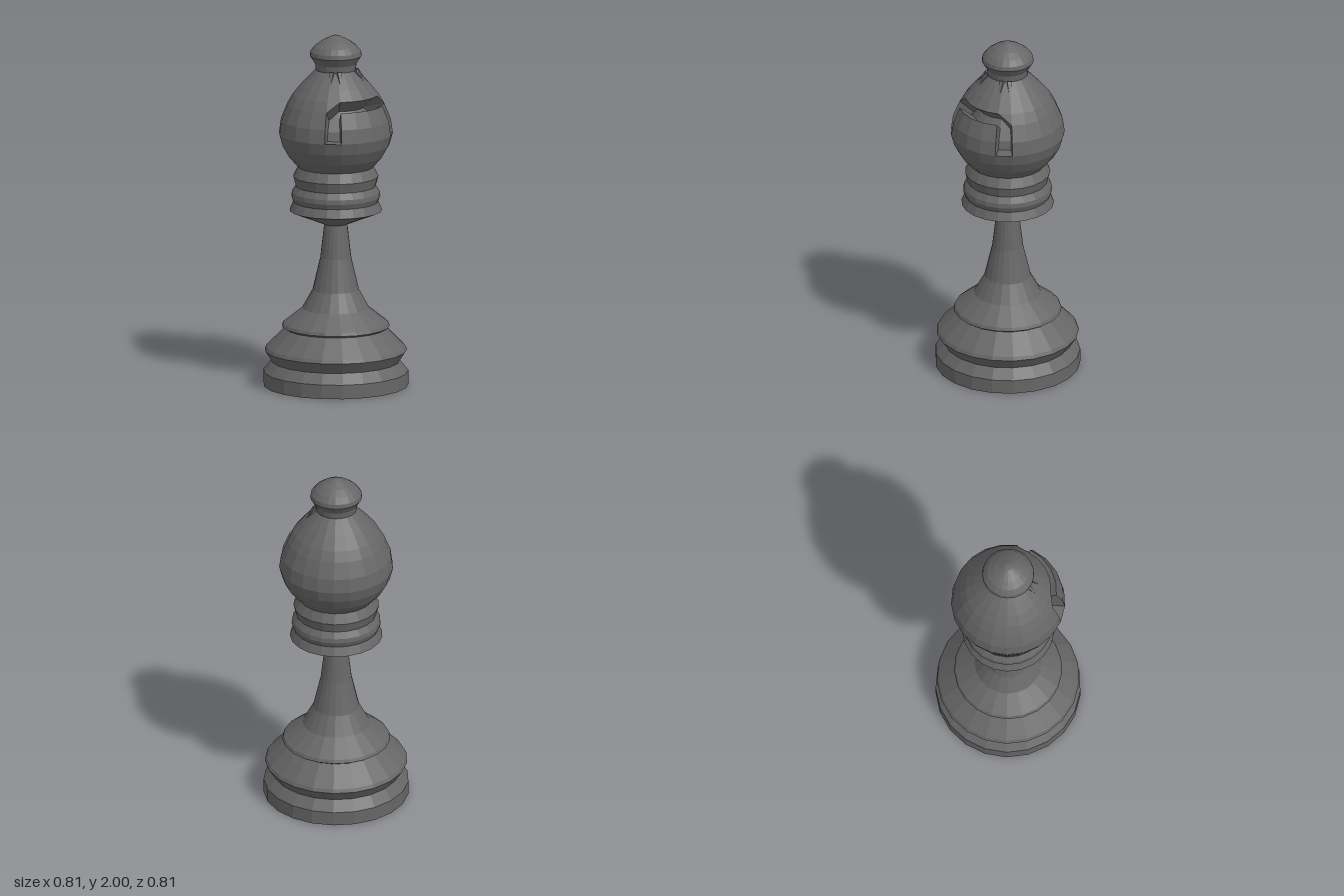
import * as THREE from 'three';

const SEGMENTS = 21;
const material = new THREE.MeshStandardMaterial({ color: 0x666666, flatShading: true });

// Turned part from [radius, height] pairs, bottom to top, with a corner on +x
function turned(name, profile) {
  const points = profile.map(([r, y]) => new THREE.Vector2(r, y));
  const mesh = new THREE.Mesh(new THREE.LatheGeometry(points, SEGMENTS, Math.PI / 2), material);
  mesh.name = name;
  return mesh;
}

// Band of the head with an arch-shaped groove sunk into its +x side
function groovedBand() {
  const rings = [[0.32, 1.44], [0.309, 1.52], [0.272, 1.61], [0.24, 1.665]];
  const drop = [0, 0.03, 0.06, 0.07];
  const positions = [];
  const point = ([i, j], inner) => {
    const angle = (j / SEGMENTS) * Math.PI * 2;
    const r = rings[i][0] - (inner ? 0.08 : 0);
    const y = rings[i][1] - (inner ? drop[i] : 0);
    return [r * Math.cos(angle), y, -r * Math.sin(angle)];
  };
  const triangle = (...corners) => corners.forEach((c) => positions.push(...c));

  const cut = [];
  for (let i = 0; i < 3; i++) {
    for (let j = -10; j <= 10; j++) {
      const a = [i, j], b = [i, j + 1], c = [i + 1, j + 1], d = [i + 1, j];
      const pair = j >= 0 ? [[a, b, d], [b, c, d]] : [[a, b, c], [a, c, d]];
      const leg = j === 2 || j === -3;
      const beam = i === 2 && j >= -2 && j <= 1;
      pair.forEach((t, k) => {
        // the upper outer corners of the arch are bevelled
        if (beam || (leg && (i < 2 || k === 0))) cut.push(t);
        else triangle(...t.map((p) => point(p, false)));
      });
    }
  }

  // Groove floor, and walls along the outline of the arch
  const key = (u, v) => `${u}|${v}`;
  const edges = new Set(cut.flatMap((t) => t.map((u, k) => key(u, t[(k + 1) % 3]))));
  for (const t of cut) {
    triangle(...t.map((p) => point(p, true)));
    t.forEach((u, k) => {
      const v = t[(k + 1) % 3];
      if (edges.has(key(v, u))) return;
      triangle(point(u, false), point(v, false), point(v, true));
      triangle(point(u, false), point(v, true), point(u, true));
    });
  }
  const geometry = new THREE.BufferGeometry();
  geometry.setAttribute('position', new THREE.Float32BufferAttribute(positions, 3));
  geometry.computeVertexNormals();
  const mesh = new THREE.Mesh(geometry, material);
  mesh.name = 'groovedBand';
  return mesh;
}

// Small pointed sliver lying on the shoulder of the head
function sliver(degrees) {
  const angle = THREE.MathUtils.degToRad(degrees);
  const at = (r, y) => new THREE.Vector3(r * Math.cos(angle), y, -r * Math.sin(angle));
  const top = at(0.115, 1.805), tip = at(0.182, 1.725);
  const direction = tip.clone().sub(top);
  const mesh = new THREE.Mesh(new THREE.ConeGeometry(0.018, direction.length(), 4), material);
  mesh.position.copy(top).add(tip).multiplyScalar(0.5);
  mesh.quaternion.setFromUnitVectors(new THREE.Vector3(0, 1, 0), direction.normalize());
  mesh.name = 'shoulderSliver';
  return mesh;
}

export function createModel() {
  const model = new THREE.Group();
  model.name = 'chessBishop';

  model.add(turned('base', [
    [0, 0], [0.407, 0], [0.407, 0.08], [0.36, 0.138], [0.39, 0.185], [0.4, 0.2],
    [0.39, 0.22], [0.285, 0.325], [0.303, 0.337], [0.295, 0.355],
  ]));
  model.add(turned('stem', [
    [0.295, 0.355], [0.188, 0.44], [0.13, 0.545], [0.087, 0.73], [0.065, 0.92],
  ]));
  model.add(turned('collar', [
    [0.065, 0.92], [0.26, 1.0], [0.238, 1.05], [0.25, 1.08], [0.247, 1.105],
    [0.225, 1.14], [0.24, 1.195], [0.212, 1.25],
  ]));

  const head = new THREE.Group();
  head.name = 'head';
  head.add(turned('lowerHead', [[0.212, 1.25], [0.265, 1.31], [0.302, 1.375], [0.32, 1.44]]));
  head.add(groovedBand());
  head.add(turned('shoulder', [[0.24, 1.665], [0.195, 1.72], [0.148, 1.77], [0.113, 1.805]]));
  for (const side of [1, -1]) {
    for (const degrees of [31, 51]) head.add(sliver(side * degrees));
  }
  model.add(head);

  model.add(turned('finial', [
    [0.113, 1.805], [0.117, 1.84], [0.146, 1.885], [0.142, 1.91],
    [0.118, 1.94], [0.08, 1.968], [0.022, 1.998], [0, 2],
  ]));
  return model;
}
